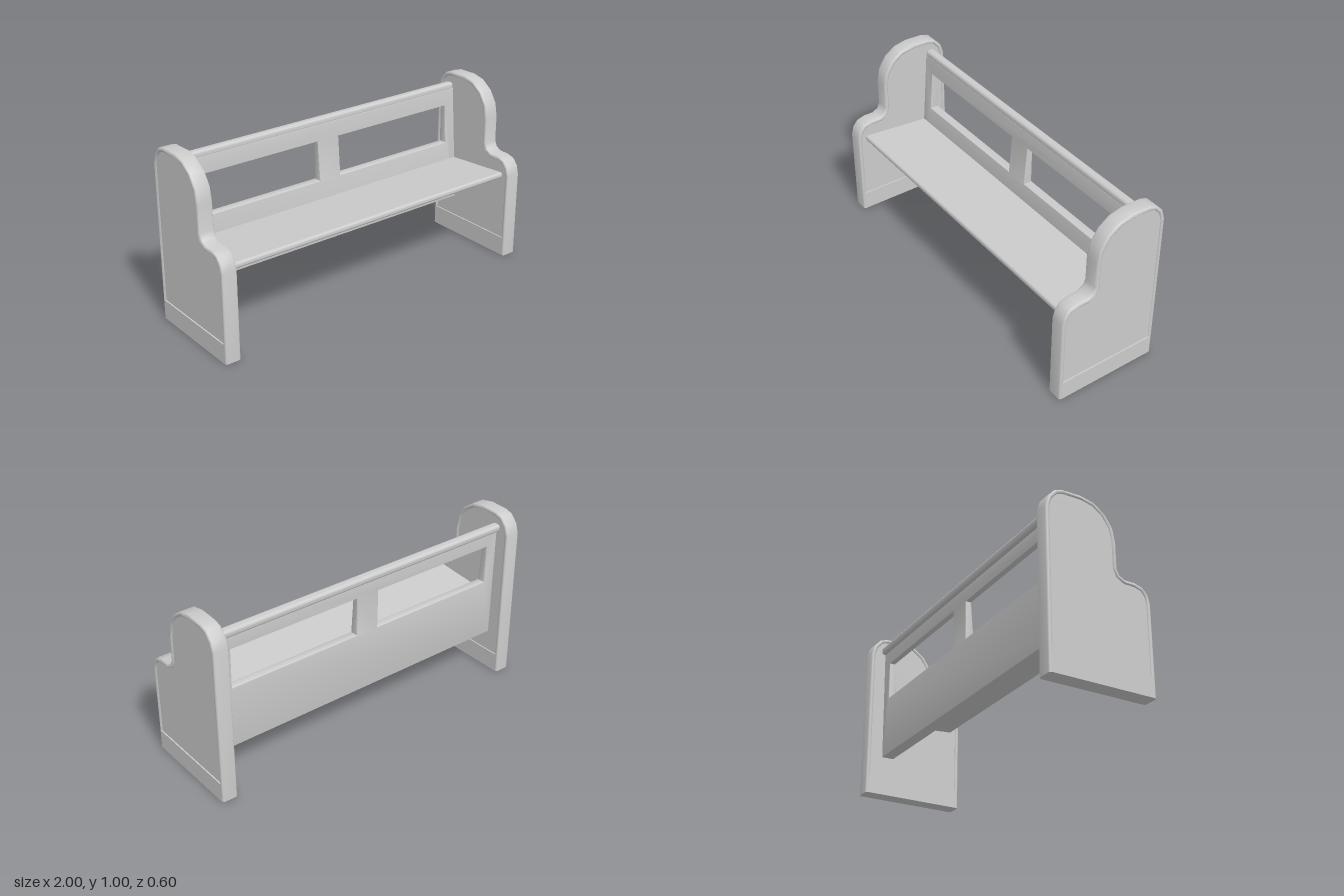
import * as THREE from 'three';
import { toCreasedNormals } from 'three/addons/utils/BufferGeometryUtils.js';
import { RoundedBoxGeometry } from 'three/addons/geometries/RoundedBoxGeometry.js';

const material = new THREE.MeshStandardMaterial({ color: 0xcccccc });
const END_X = 0.9545;    // centre of each end panel
const TILT = 0.08;       // lean of the seat and the front of the backrest

// Silhouette of an end panel as (z, y), from the front foot over the top to the back foot
const outline = [
  [0.3, 0], [0.3, 0.5], [0.287, 0.548], [0.257, 0.582], [0.21, 0.595], [0.153, 0.595],
  [0.121, 0.612], [0.107, 0.645], [0.107, 0.79], [0.092, 0.868], [0.048, 0.935], [-0.017, 0.98],
  [-0.09, 0.996], [-0.2, 0.993], [-0.243, 0.98], [-0.283, 0.937], [-0.3, 0.88], [-0.3, 0],
].map(([z, y]) => new THREE.Vector2(z, y));

// Rounded rim cross-section as (inset, x), one half; the other half is mirrored
const halfRim = [[0.023, 0.037], [0.02, 0.0425], [0.014, 0.0455], [0.006, 0.0425], [0.0015, 0.039], [0, 0.033]];
const rim = [...halfRim, ...halfRim.slice().reverse().map(([d, x]) => [d, -x])];

// Moves the outline inward by d with mitred corners
function inset(d) {
  const inward = (a, b) => {
    const t = b.clone().sub(a).normalize();
    return new THREE.Vector2(-t.y, t.x);
  };
  return outline.map((p, i) => {
    const n1 = i > 0 ? inward(outline[i - 1], p) : inward(p, outline[1]);
    const n2 = i < outline.length - 1 ? inward(p, outline[i + 1]) : n1;
    return p.clone().addScaledVector(n1.clone().add(n2), d / (1 + n1.dot(n2)));
  });
}

function mesh(name, geometry) {
  const m = new THREE.Mesh(geometry, material);
  m.name = name;
  return m;
}

// Rim swept along the outline, with caps under both feet
function rimGeometry() {
  const loops = rim.map(([d, x]) => inset(d).map((p) => [x, p.y, p.x]));
  const n = outline.length;
  const index = [];
  for (let j = 0; j < loops.length - 1; j++) {
    for (let i = 0; i < n - 1; i++) {
      const a = j * n + i, b = a + 1, c = a + n, d = c + 1;
      index.push(a, b, c, b, d, c);
    }
    const k = j * n, next = k + n, last = n - 1;
    if (j > 0) index.push(0, k, next, last, next + last, k + last);
  }
  const g = new THREE.BufferGeometry();
  g.setAttribute('position', new THREE.Float32BufferAttribute(loops.flat(2), 3));
  g.setIndex(index);
  return toCreasedNormals(g, 0.9);
}

function endPanel(name) {
  const group = new THREE.Group();
  group.name = name;

  // Recessed board inside the rim
  const board = new THREE.ExtrudeGeometry(new THREE.Shape(inset(0.02)), { depth: 0.076, bevelEnabled: false });
  board.translate(0, 0, -0.038).rotateY(-Math.PI / 2);

  // Plinth between the two upright sides of the rim
  const plinth = new THREE.BoxGeometry(0.091, 0.11, 0.572);
  plinth.translate(0, 0.055, 0);

  group.add(mesh('endBoard', board), mesh('endRim', rimGeometry()), mesh('endPlinth', plinth));
  return group;
}

function rectangle(Type, x0, y0, x1, y1) {
  return new Type([[x0, y0], [x1, y0], [x1, y1], [x0, y1]].map(([x, y]) => new THREE.Vector2(x, y)));
}

// Back board with two open windows: the front leans back, the rear is almost upright
function backrest() {
  const bottom = 0.23, thickness = 0.075, bevel = 0.006;
  const shape = rectangle(THREE.Shape, -0.92, 0, 0.92, 0.67);
  for (const [x0, x1] of [[-0.849, -0.07], [0.07, 0.849]]) {
    shape.holes.push(rectangle(THREE.Path, x0, 0.582 - bottom, x1, 0.805 - bottom));
  }
  const g = new THREE.ExtrudeGeometry(shape, {
    depth: thickness - 2 * bevel, bevelThickness: bevel, bevelSize: bevel, bevelOffset: -bevel, bevelSegments: 2,
  });
  g.translate(0, 0, bevel);
  const p = g.attributes.position;
  for (let i = 0; i < p.count; i++) {
    const lean = THREE.MathUtils.lerp(0.01, TILT, p.getZ(i) / thickness);
    p.setZ(i, p.getZ(i) - lean * p.getY(i));
  }
  g.translate(0, bottom, -0.205);
  return mesh('backrest', toCreasedNormals(g, 0.6));
}

export function createModel() {
  const bench = new THREE.Group();
  bench.name = 'bench';

  for (const s of [1, -1]) {
    const end = endPanel(s > 0 ? 'leftEnd' : 'rightEnd');
    end.position.x = s * END_X;
    bench.add(end);
  }

  // Seat slopes down towards the back
  const seat = mesh('seat', new RoundedBoxGeometry(1.85, 0.034, 0.42, 3, 0.014));
  seat.position.set(0, 0.475, 0.041);
  seat.rotation.x = -TILT;

  // Rounded rail capping the backrest
  const rail = mesh('topRail', new RoundedBoxGeometry(1.85, 0.045, 0.052, 4, 0.018));
  rail.position.set(0, 0.908, -0.21);
  rail.rotation.x = -TILT;

  bench.add(seat, backrest(), rail);
  return bench;
}
